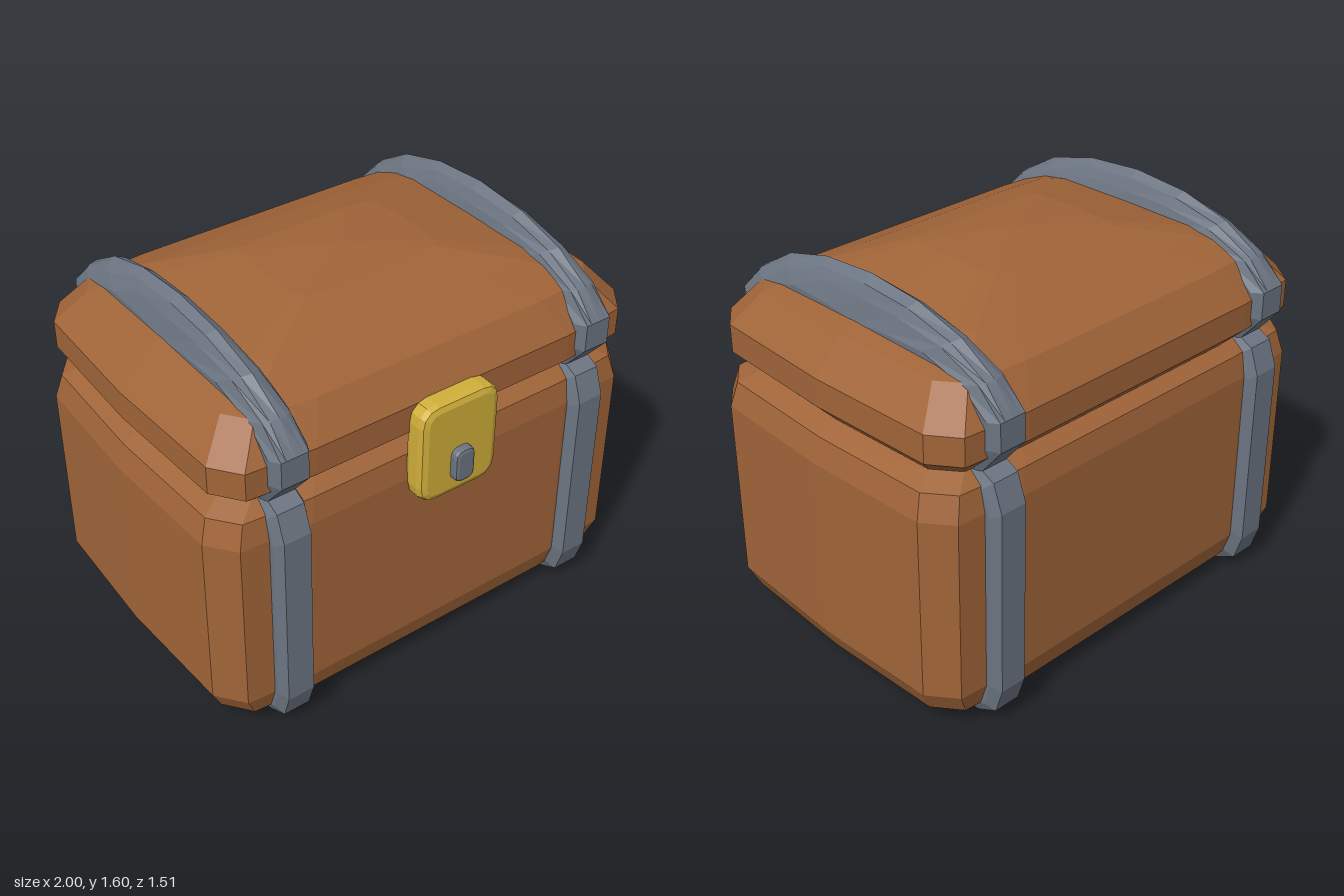
import * as THREE from 'three';

const ZC = -0.035; // depth centre of the chest

// Skin closed rings of equal length, with a fan cap at each end
function loft(rings, capA, capB) {
  const pos = [];
  const tri = (a, b, c) => pos.push(...a, ...b, ...c);
  const n = rings[0].length;
  for (let j = 0; j < n; j++) {
    const k = (j + 1) % n;
    for (let i = 0; i < rings.length - 1; i++) {
      const [p, q] = [rings[i], rings[i + 1]];
      tri(p[j], p[k], q[k]);
      tri(p[j], q[k], q[j]);
    }
    const last = rings[rings.length - 1];
    tri(capA, rings[0][k], rings[0][j]);
    tri(capB, last[j], last[k]);
  }
  const g = new THREE.BufferGeometry();
  g.setAttribute('position', new THREE.Float32BufferAttribute(pos, 3));
  g.computeVertexNormals();
  return g;
}

// Horizontal rounded rectangle with slightly bulging sides
function boxRing([hx, hz, y]) {
  const quarter = [[1, 0], [0.977, 0.8], [0.89, 0.965], [0.6, 1]];
  const right = [...quarter.slice(1).reverse().map(([a, b]) => [a, b]),
    ...quarter.map(([a, b]) => [a, -b])];
  const left = right.map(([a, b]) => [-a, -b]);
  return [...right, ...left].map(([a, b]) => [a * hx, y, ZC + b * hz]);
}

// Band slice stack: half profile [z, y, topness] runs from top to bottom
function bandGeometry(half, cy) {
  const back = half.slice(1, -1).reverse().map(([z, y, t]) => [-z, y, t]);
  const profile = [...half, ...back];
  // [offset, inset on the sides, inset at the crown]
  const slices = [[0.08, 0.045, 0.17], [0.057, 0, 0.08], [0.035, 0, 0.03], [0, 0, 0]];
  const all = [
    ...slices.map(([o, a, b]) => [-o, a, b]),
    ...slices.slice(0, -1).reverse(),
  ];
  const rings = all.map(([x, side, top]) => profile.map(([z, y, t]) => {
    const inset = side + (top - side) * t;
    const s = 1 - inset / Math.hypot(z, y - cy);
    return [x, cy + (y - cy) * s, ZC + z * s];
  }));
  return loft(rings, [-0.08, cy, ZC], [0.08, cy, ZC]);
}

// Rounded plate facing +z with bevels on both faces
function plate(w, h, r, depth, bevel) {
  const x = w / 2 - bevel, y = h / 2 - bevel;
  const s = new THREE.Shape();
  s.moveTo(-x + r, -y);
  s.lineTo(x - r, -y);
  s.quadraticCurveTo(x, -y, x, -y + r);
  s.lineTo(x, y - r);
  s.quadraticCurveTo(x, y, x - r, y);
  s.lineTo(-x + r, y);
  s.quadraticCurveTo(-x, y, -x, y - r);
  s.lineTo(-x, -y + r);
  s.quadraticCurveTo(-x, -y, -x + r, -y);
  return new THREE.ExtrudeGeometry(s, {
    depth: depth - 2 * bevel, bevelThickness: bevel, bevelSize: bevel,
    bevelSegments: 2, curveSegments: 3,
  }).translate(0, 0, bevel);
}

export function createModel() {
  const chest = new THREE.Group();
  chest.name = 'chest';
  const material = (name, color) => {
    const m = new THREE.MeshStandardMaterial({ color, flatShading: true });
    m.name = name;
    return m;
  };
  const wood = material('wood', 0xa06438);
  const iron = material('iron', 0x6b7481);
  const brass = material('brass', 0xd0ae3a);
  const add = (name, geometry, mat, x = 0, y = 0, z = 0) => {
    const m = new THREE.Mesh(geometry, mat);
    m.name = name;
    m.position.set(x, y, z);
    chest.add(m);
  };

  // Box with softened edges
  const body = [
    [0.83, 0.56, 0.035], [0.95, 0.645, 0.09], [1, 0.675, 0.19],
    [1, 0.675, 0.95], [0.97, 0.655, 1.05], [0.89, 0.6, 1.09],
  ].map(boxRing);
  add('body', loft(body, [0, 0.025, ZC], [0, 1.09, ZC]), wood);

  // Domed lid, pinched where it meets the box
  const lid = [
    [0.89, 0.6, 1.09], [0.965, 0.68, 1.17], [0.965, 0.68, 1.285],
    [0.85, 0.585, 1.415], [0.64, 0.42, 1.485], [0.33, 0.22, 1.55],
  ].map(boxRing);
  add('lid', loft(lid, [0, 1.09, ZC], [0, 1.57, ZC]), wood);

  // Iron bands around the box and over the lid
  const bodyBand = bandGeometry([
    [0, 1.11, 0], [0.6, 1.11, 0], [0.68, 1.07, 0], [0.72, 0.96, 0],
    [0.72, 0.18, 0], [0.685, 0.07, 0], [0.59, 0.02, 0], [0.4, 0.01, 0], [0, 0.003, 0],
  ], 0.55);
  const lidBand = bandGeometry([
    [0, 1.605, 1], [0.25, 1.585, 0.95], [0.47, 1.525, 0.7], [0.63, 1.43, 0.3],
    [0.715, 1.32, 0], [0.715, 1.205, 0], [0.62, 1.09, 0], [0, 1.09, 0],
  ], 1.25);
  for (const [side, x] of [['left', 0.695], ['right', -0.695]]) {
    add(side + 'BodyBand', bodyBand, iron, x);
    add(side + 'LidBand', lidBand, iron, x);
  }

  // Lock plate and keyhole
  add('lockPlate', plate(0.36, 0.43, 0.05, 0.105, 0.03), brass, 0, 1.08, 0.62);
  add('keyhole', plate(0.09, 0.145, 0.02, 0.06, 0.015), iron, 0, 1.008, 0.7);

  return chest;
}
